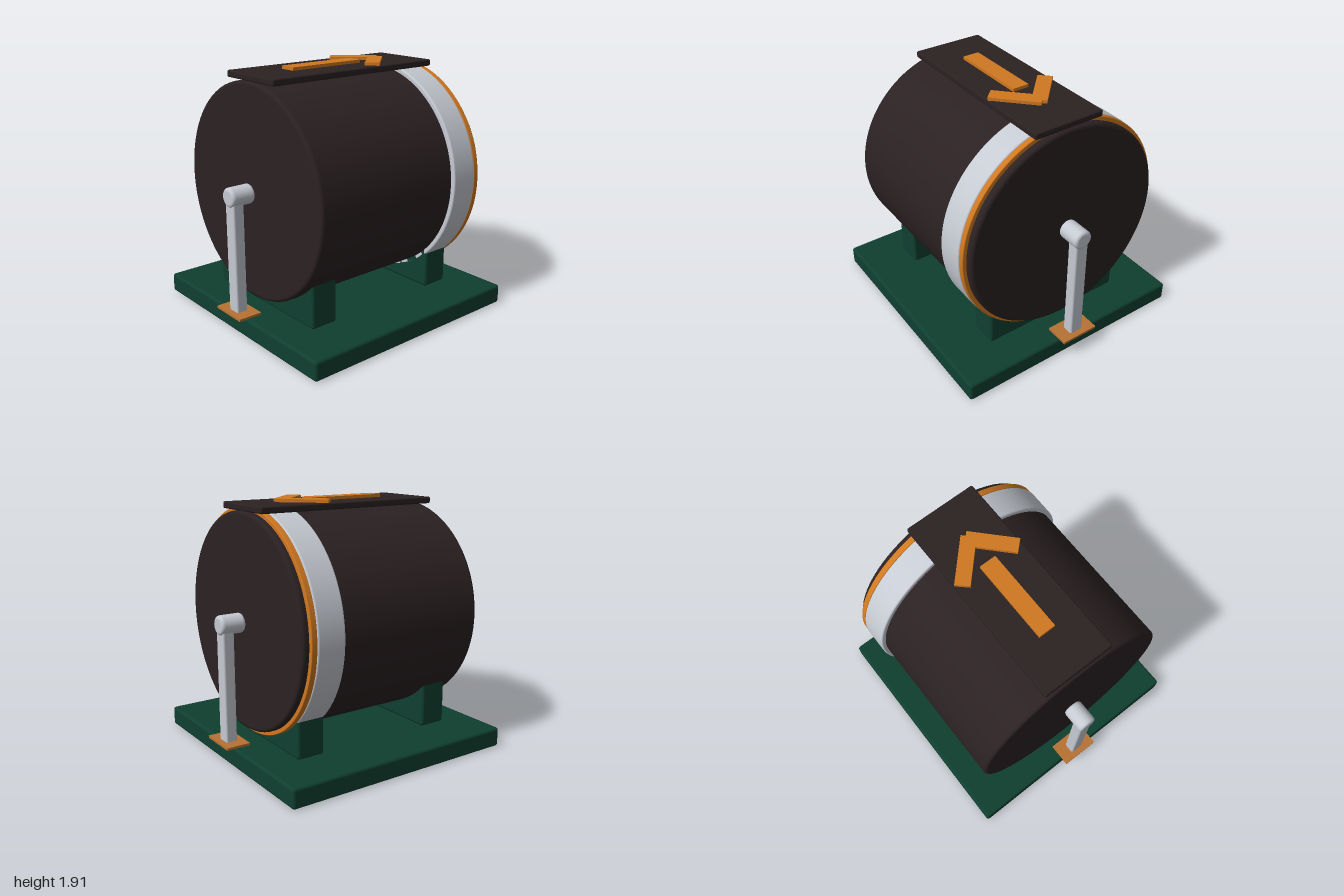
import * as THREE from 'three';
import { RoundedBoxGeometry } from 'three/addons/geometries/RoundedBoxGeometry.js';

const mat = (name, color) => new THREE.MeshStandardMaterial({ name, color });

// Round-edged cylinder lying along z
function drumGeometry(radius, length, bevel, segments) {
  const pts = [new THREE.Vector2(0, -length / 2)];
  const arc = (cy, from) => {
    for (let i = 0; i <= 4; i++) {
      const a = from + (i / 4) * Math.PI / 2;
      pts.push(new THREE.Vector2(radius - bevel + Math.cos(a) * bevel, cy + Math.sin(a) * bevel));
    }
  };
  // short guard rows keep the caps and wall flat
  pts.push(new THREE.Vector2(radius - bevel - 0.002, -length / 2));
  arc(-length / 2 + bevel, -Math.PI / 2);
  pts.push(new THREE.Vector2(radius, -length / 2 + bevel + 0.002));
  pts.push(new THREE.Vector2(radius, length / 2 - bevel - 0.002));
  arc(length / 2 - bevel, 0);
  pts.push(new THREE.Vector2(radius - bevel - 0.002, length / 2));
  pts.push(new THREE.Vector2(0, length / 2));
  return new THREE.LatheGeometry(pts, segments).rotateX(Math.PI / 2);
}

export function createModel() {
  const model = new THREE.Group();
  model.name = 'barrelOnStand';
  const green = mat('darkGreen', 0x0f3f30);
  const dark = mat('darkBrown', 0x2b2122);
  const silver = mat('silver', 0xc6cad2);
  const orange = mat('orange', 0xd07820);
  const copper = mat('copper', 0xb87333);

  const add = (name, geometry, material, x, y, z) => {
    const mesh = new THREE.Mesh(geometry, material);
    mesh.name = name;
    mesh.position.set(x, y, z);
    model.add(mesh);
    return mesh;
  };
  const rbox = (w, h, d, r) => new RoundedBoxGeometry(w, h, d, 3, r);
  const axisY = 1.035;

  // Base and cradle blocks, whose tops sink into the barrel
  add('base', rbox(1.88, 0.15, 1.88, 0.022), green, 0, 0.075, 0);
  add('frontCradle', rbox(1.17, 0.45, 0.22, 0.022), green, 0, 0.375, 0.57);
  add('backCradle', rbox(1.17, 0.45, 0.22, 0.022), green, 0, 0.375, -0.565);

  // Barrel and its two bands
  add('barrel', drumGeometry(0.805, 1.54, 0.025, 96), dark, 0, axisY, 0);
  add('silverBand', drumGeometry(0.84, 0.22, 0.012, 96), silver, 0, axisY, -0.565);
  add('orangeBand', drumGeometry(0.836, 0.045, 0.006, 96), orange, 0, axisY, -0.6985);

  // Top plate with arrow pointing to the back
  add('topPlate', rbox(0.56, 0.05, 1.51, 0.012), dark, 0, 1.861, 0);
  add('arrowShaft', new THREE.BoxGeometry(0.13, 0.025, 0.635), orange, 0, 1.897, 0.108);
  for (const s of [-1, 1]) {
    const bar = add(s < 0 ? 'arrowHeadRight' : 'arrowHeadLeft',
      new THREE.BoxGeometry(0.37, 0.025, 0.11), orange, s * 0.113, 1.897, -0.305);
    bar.rotation.y = -s * 0.81;
  }

  // Axle knob, post and foot plate at each end
  for (const s of [1, -1]) {
    const end = s > 0 ? 'front' : 'back';
    add(end + 'Knob', drumGeometry(0.073, 0.19, 0.022, 24), silver, 0, 1.04, s * 0.872);
    add(end + 'Post', rbox(0.108, 0.92, 0.09, 0.015), silver, 0, 0.56, s * 0.91);
    add(end + 'FootPlate', new THREE.BoxGeometry(0.3, 0.018, 0.185), copper, 0, 0.161, s * 0.9075);
  }
  return model;
}
